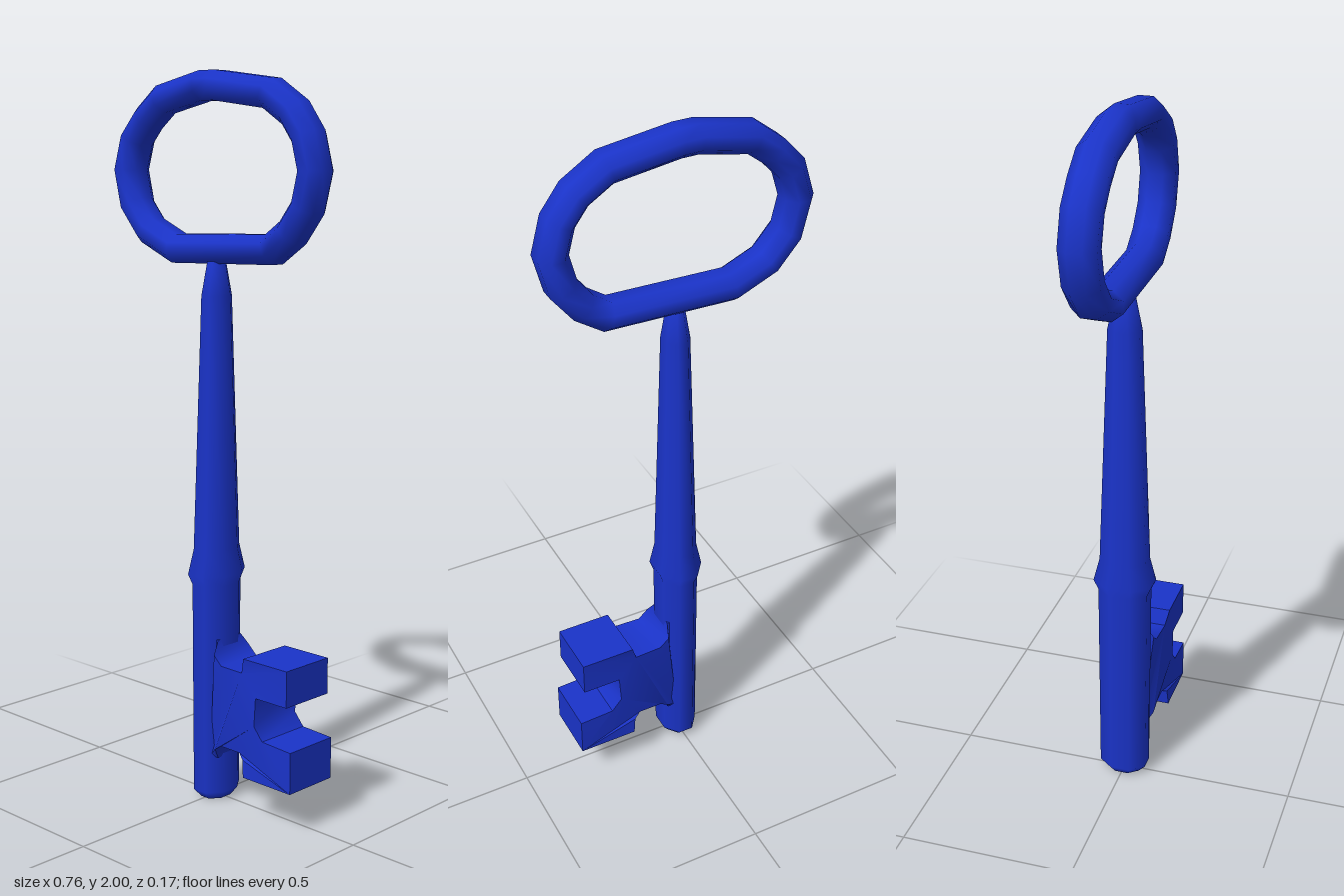
import * as THREE from 'three';
import { toCreasedNormals } from 'three/addons/utils/BufferGeometryUtils.js';

const SIDES = 8;
const OFFSET = Math.PI / SIDES; // puts flats, not corners, on the axes
const FLAT = Math.cos(OFFSET);

// Eight-sided stem, wider in depth than in width: [half width, height]
function stemGeometry() {
  const profile = [
    [0, 0], [0.036, 0], [0.053, 0.025], [0.055, 0.62], [0.065, 0.65],
    [0.052, 0.72], [0.034, 1.41], [0.021, 1.5], [0, 1.51],
  ].map(([r, y]) => new THREE.Vector2(r / FLAT, y));
  const g = new THREE.LatheGeometry(profile, SIDES, OFFSET);
  g.scale(1, 1, 1.3);
  return g;
}

// Closed ring with an eight-sided section swept along a hand-bent loop
function bowGeometry() {
  const path = [
    [0.338, 1.74], [0.315, 1.825], [0.27, 1.885], [0.19, 1.935], [0, 1.96],
    [-0.05, 1.96], [-0.2, 1.928], [-0.262, 1.88], [-0.312, 1.825], [-0.338, 1.74],
    [-0.315, 1.645], [-0.255, 1.575], [-0.15, 1.53], [0.2, 1.54], [0.265, 1.585],
    [0.315, 1.65],
  ].map(([x, y]) => new THREE.Vector2(x, y));
  const n = path.length, pos = [], index = [];
  for (let i = 0; i < n; i++) {
    const p = path[i];
    const a = p.clone().sub(path[(i + n - 1) % n]).normalize();
    const b = path[(i + 1) % n].clone().sub(p).normalize();
    const t = a.clone().add(b).normalize();
    const mitre = 1 / t.dot(b);
    for (let j = 0; j < SIDES; j++) {
      const ang = OFFSET + (j / SIDES) * Math.PI * 2;
      const r = (Math.cos(ang) * 0.039 * mitre) / FLAT;
      pos.push(p.x + t.y * r, p.y - t.x * r, -0.007 + (Math.sin(ang) * 0.05) / FLAT);
      const k = (j + 1) % SIDES, m = (i + 1) % n;
      const A = i * SIDES + j, B = m * SIDES + j, C = m * SIDES + k, D = i * SIDES + k;
      index.push(A, B, C, A, C, D);
    }
  }
  const g = new THREE.BufferGeometry();
  g.setAttribute('position', new THREE.Float32BufferAttribute(pos, 3));
  g.setIndex(index);
  g.computeVertexNormals();
  return g;
}

// Web and two teeth cut from one outline, flaring in depth towards the teeth
function bitGeometry() {
  const outline = [
    [0.02, 0.13], [0.05, 0.13], [0.062, 0.165], [0.085, 0.18], [0.155, 0.18],
    [0.175, 0.168], [0.18, 0.12], [0.35, 0.12], [0.35, 0.235], [0.25, 0.24],
    [0.22, 0.275], [0.225, 0.355], [0.335, 0.355], [0.335, 0.455], [0.18, 0.455],
    [0.165, 0.41], [0.085, 0.41], [0.058, 0.435], [0.05, 0.47], [0.02, 0.47],
  ].map(([x, y]) => new THREE.Vector2(x, y));
  const g = new THREE.ExtrudeGeometry(new THREE.Shape(outline), { depth: 2, bevelEnabled: false });
  g.translate(0, 0, -1);
  const p = g.attributes.position;
  for (let i = 0; i < p.count; i++) {
    const x = p.getX(i);
    const half = x < 0.055 ? 0.045 : THREE.MathUtils.mapLinear(THREE.MathUtils.clamp(x, 0.16, 0.18), 0.16, 0.18, 0.07, 0.083);
    p.setZ(i, p.getZ(i) * half);
  }
  return toCreasedNormals(g, 0.8);
}

export function createModel() {
  const key = new THREE.Group();
  key.name = 'key';
  const material = new THREE.MeshStandardMaterial({ color: 0x1a33c8 });
  const add = (name, geometry) => {
    const mesh = new THREE.Mesh(geometry, material);
    mesh.name = name;
    key.add(mesh);
  };
  add('stem', stemGeometry());
  add('bow', bowGeometry());
  add('bit', bitGeometry());
  return key;
}
